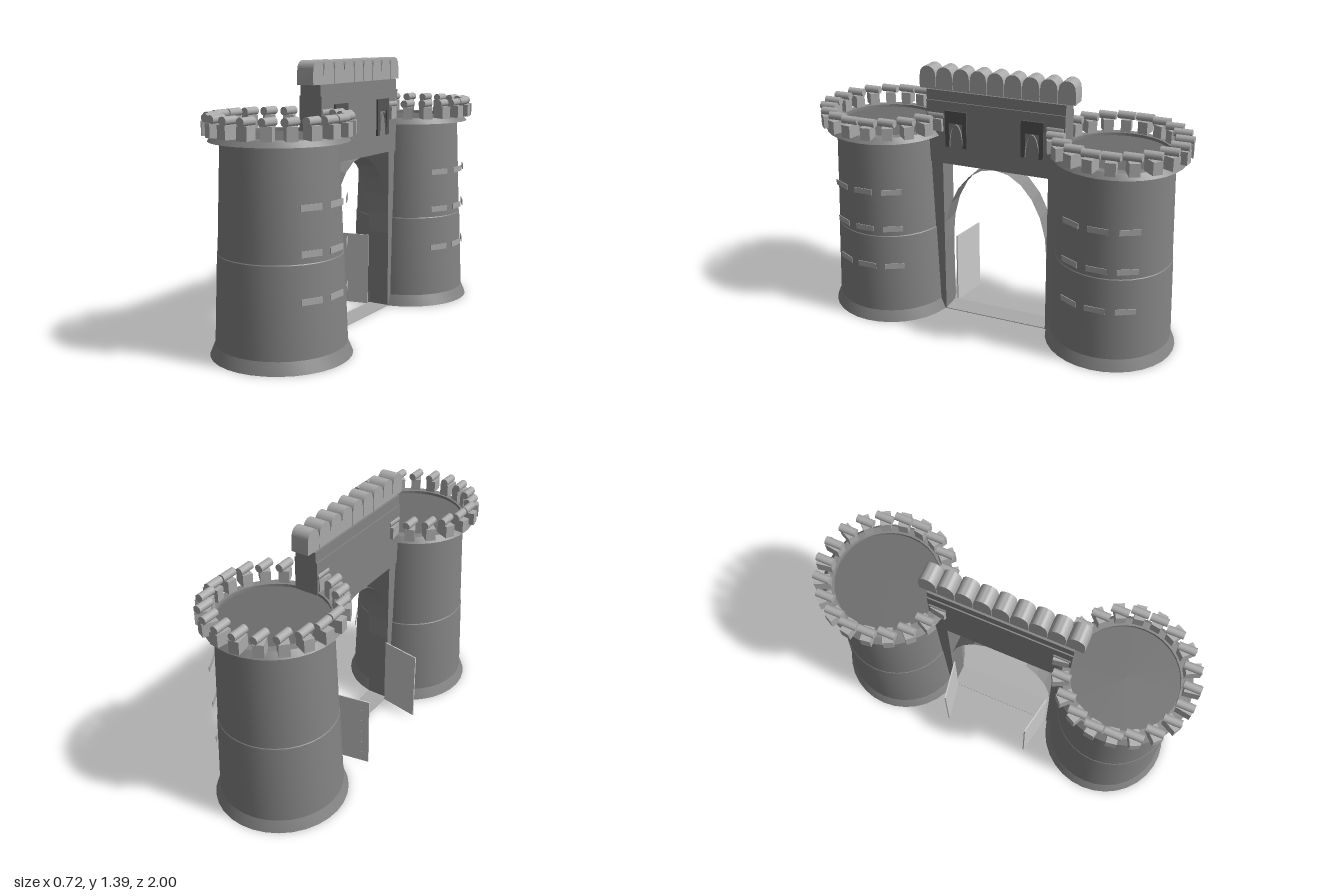
import * as THREE from 'three';
import { toCreasedNormals } from 'three/addons/utils/BufferGeometryUtils.js';

const stone = new THREE.MeshStandardMaterial({ color: 0x848484 });
const roof = new THREE.MeshStandardMaterial({ color: 0x6c6c6c });
const trim = new THREE.MeshStandardMaterial({ color: 0xaaaaaa });
const dark = new THREE.MeshStandardMaterial({ color: 0x545454 });
const grey = new THREE.MeshStandardMaterial({ color: 0xcccccc });
const lining = new THREE.MeshStandardMaterial({ color: 0x8c8c8c, side: THREE.DoubleSide, flatShading: true });

function add(parent, name, geometry, material, x = 0, y = 0, z = 0) {
  const mesh = new THREE.Mesh(geometry, material);
  mesh.name = name;
  mesh.position.set(x, y, z);
  parent.add(mesh);
  return mesh;
}

const box = (w, h, d) => new THREE.BoxGeometry(w, h, d);

// Curved sheet following an arch in the z-y plane, swept along x
function archSheet(halfSpan, rise, depth, segments) {
  const geometry = new THREE.PlaneGeometry(depth, 1, 1, segments);
  const p = geometry.attributes.position;
  for (let i = 0; i < p.count; i++) {
    const a = (p.getY(i) + 0.5) * Math.PI;
    p.setXYZ(i, p.getX(i), Math.sin(a) * rise, Math.cos(a) * halfSpan);
  }
  geometry.computeVertexNormals();
  return geometry;
}

function makeTower() {
  const tower = new THREE.Group();
  tower.name = 'tower';

  // Flared foot, two tapering drums with a seam, and the lip below the battlements
  const profile = [
    [0, 0], [0.345, 0], [0.32, 0.06], [0.303, 0.498], [0.3, 0.502], [0.28, 1.03],
    [0.335, 1.03], [0.31, 1.06], [0.27, 1.06], [0.27, 1.045],
  ].map(([r, y]) => new THREE.Vector2(r, y));
  add(tower, 'towerBody', toCreasedNormals(new THREE.LatheGeometry(profile, 32), 0.28), stone);
  add(tower, 'roofFloor', new THREE.CircleGeometry(0.27, 32).rotateX(-Math.PI / 2), roof, 0, 1.045, 0);

  // Battlements: radial blocks carrying round bars that all lie along z
  const block = box(0.052, 0.066, 0.08);
  const bar = new THREE.CylinderGeometry(0.021, 0.021, 0.09, 14).rotateX(Math.PI / 2);
  for (let i = 0; i < 20; i++) {
    const a = ((i + 0.5) / 20) * Math.PI * 2;
    const s = Math.sin(a), c = Math.cos(a);
    add(tower, 'merlonBlock', block, trim, s * 0.32, 1.092, c * 0.32).rotation.y = a;
    add(tower, 'merlonBar', bar, trim, s * 0.315, 1.142, c * 0.315);
  }

  // Arrow slit plates on the +x side
  const slit = box(0.004, 0.03, 0.106);
  for (const y of [0.33, 0.55, 0.76]) {
    for (const a of [-0.49, 0, 0.49]) {
      add(tower, 'arrowSlit', slit, trim, Math.cos(a) * 0.316, y, Math.sin(a) * 0.316).rotation.y = -a;
    }
  }
  return tower;
}

// Gate leaf hinged at its local origin and reaching towards -x
function makeDoor(side) {
  const door = new THREE.Group();
  door.name = 'gateDoor';
  add(door, 'doorPanel', box(0.22, 0.4, 0.007), grey, -0.11, 0.2, 0);
  const stud = new THREE.SphereGeometry(0.003, 6, 4);
  for (const x of [-0.04, -0.18]) {
    for (let i = 0; i < 5; i++) add(door, 'doorStud', stud, grey, x, 0.06 + i * 0.07, side * 0.004);
  }
  door.position.set(-0.06, 0, side * 0.28);
  door.rotation.y = -side * 0.185;
  return door;
}

// Rectangular window surround with an arched sheet inside
function makeWindow() {
  const win = new THREE.Group();
  win.name = 'window';
  const outline = new THREE.Shape();
  [[-0.06, 0], [-0.037, 0], [-0.037, 0.13], [0.037, 0.13], [0.037, 0],
    [0.06, 0], [0.06, 0.195], [-0.06, 0.195]].forEach(([x, y], i) =>
    i ? outline.lineTo(x, y) : outline.moveTo(x, y));
  const frame = new THREE.ExtrudeGeometry(outline, { depth: 0.012, bevelEnabled: false });
  add(win, 'windowFrame', frame.rotateY(Math.PI / 2), dark);
  add(win, 'windowArch', archSheet(0.037, 0.125, 0.012, 12), lining, 0.006, 0, 0);
  return win;
}

export function createModel() {
  const model = new THREE.Group();
  model.name = 'gatehouse';

  // Mirrored towers, gate piers, doors and windows
  for (const side of [1, -1]) {
    const tower = makeTower();
    tower.position.z = side * 0.64;
    model.add(tower);
    add(model, 'gatePier', box(0.12, 0.88, 0.08), stone, 0, 0.44, side * 0.335);
    model.add(makeDoor(side));
    const win = makeWindow();
    win.position.set(0.064, 0.98, side * 0.21);
    model.add(win);
  }

  // Wall over the gate, with its coping
  add(model, 'bridgeWall', box(0.13, 0.34, 0.76), stone, 0, 1.05, 0);
  add(model, 'coping', box(0.116, 0.056, 0.76), stone, 0, 1.247, 0);

  // Round-topped merlons along the wall
  const cap = new THREE.Shape();
  cap.moveTo(-0.046, 0);
  cap.lineTo(0.046, 0);
  cap.lineTo(0.046, 0.062);
  cap.lineTo(0.043, 0.075);
  cap.absarc(0, 0.075, 0.043, 0, Math.PI, false);
  cap.lineTo(-0.046, 0.062);
  const merlon = toCreasedNormals(
    new THREE.ExtrudeGeometry(cap, { depth: 0.094, bevelEnabled: false, curveSegments: 14 })
      .translate(0, 0, -0.047).rotateY(Math.PI / 2), 0.5);
  for (let i = -4; i <= 4; i++) add(model, 'wallMerlon', merlon, trim, 0, 1.275, i * 0.0945);

  // Thin arch lining and threshold strip of the gateway
  add(model, 'gateArch', archSheet(0.295, 0.46, 0.12, 12), lining, 0, 0.42, 0);
  add(model, 'threshold', box(0.12, 0.004, 0.64), trim, 0, 0.002, 0);

  return model;
}
